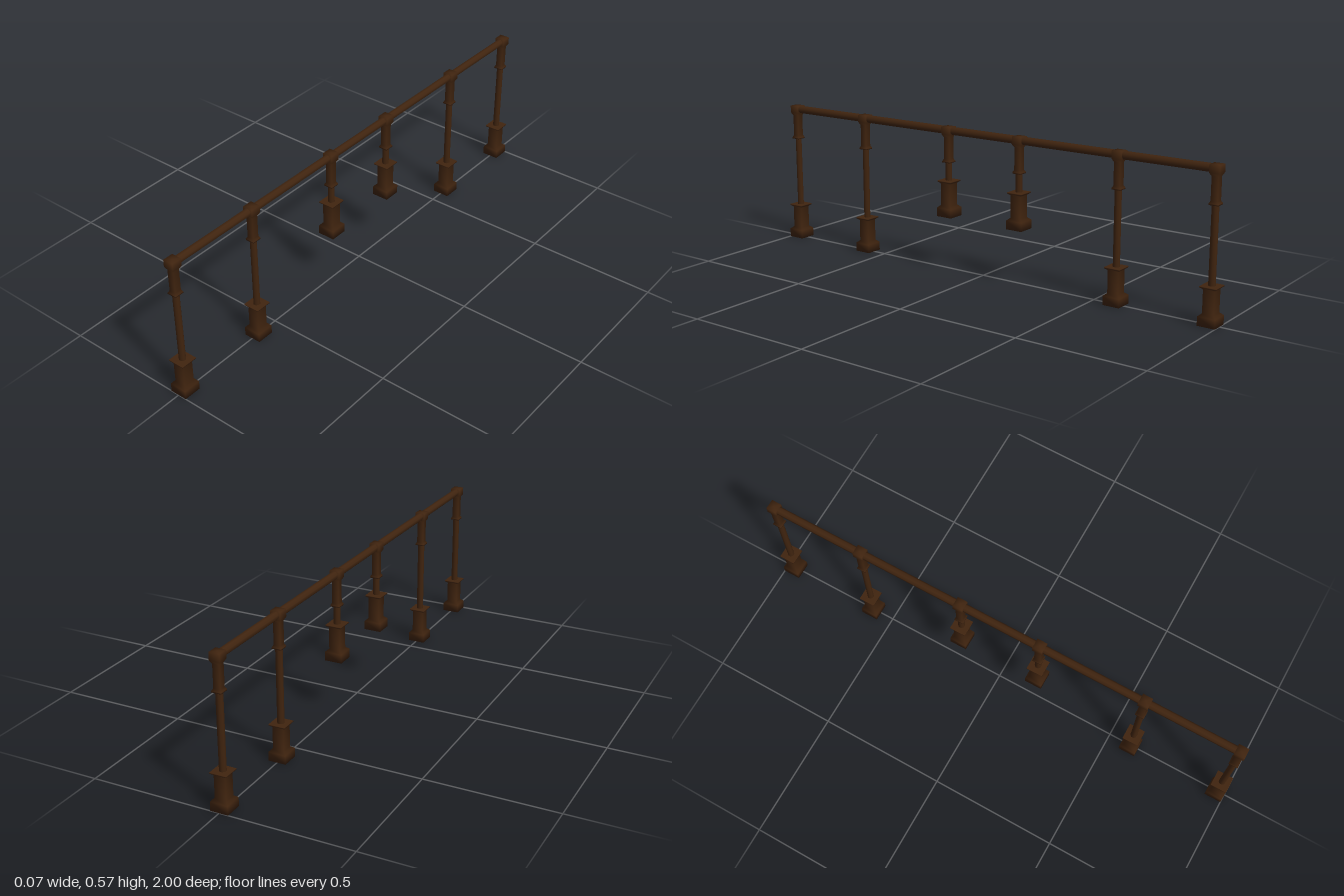
import * as THREE from 'three';

// Square-section turned part: profile is [half width, y] from bottom to top
function squareTurned(profile) {
  const pts = profile.map(([h, y]) => new THREE.Vector2(h * Math.SQRT2, y));
  return new THREE.LatheGeometry(pts, 4).rotateY(Math.PI / 4);
}

export function createModel() {
  const model = new THREE.Group();
  model.name = 'railing';
  const darkBrown = new THREE.MeshStandardMaterial({ color: 0x40240f });
  darkBrown.name = 'darkBrown';

  const add = (parent, name, geometry, y = 0) => {
    const mesh = new THREE.Mesh(geometry, darkBrown);
    mesh.name = name;
    mesh.position.y = y;
    parent.add(mesh);
    return mesh;
  };

  // Plinth with a wide foot and a flared top plate
  const baseGeometry = squareTurned([
    [0, 0], [0.034, 0], [0.034, 0.034], [0.022, 0.044],
    [0.022, 0.13], [0.032, 0.138], [0.032, 0.142], [0, 0.142],
  ]);
  // Sleeve under the rail, ending in a square head
  const sleeveGeometry = squareTurned([
    [0, 0.426], [0.018, 0.426], [0.018, 0.431], [0.013, 0.44],
    [0.013, 0.525], [0.02, 0.537], [0.02, 0.566], [0, 0.566],
  ]);

  // Posts: the middle pair stands higher and is shorter
  const posts = [[0.966, 0], [0.59, 0], [0.165, 0.213]];
  for (const side of [1, -1]) {
    for (const [z, floor] of posts) {
      const post = new THREE.Group();
      post.name = 'post';
      post.position.z = side * z;
      add(post, 'base', baseGeometry, floor);
      add(post, 'sleeve', sleeveGeometry);
      const bottom = floor + 0.13, top = 0.44;
      const shaft = new THREE.CylinderGeometry(0.013, 0.013, top - bottom, 8, 1, true);
      shaft.rotateY(Math.PI / 8);
      add(post, 'shaft', shaft, (bottom + top) / 2);
      model.add(post);
    }
  }

  // Long handrail through the post heads
  const rail = new THREE.CylinderGeometry(0.0155, 0.0155, 1.95, 8);
  rail.rotateY(Math.PI / 8).rotateX(Math.PI / 2);
  add(model, 'handrail', rail, 0.551);

  return model;
}
